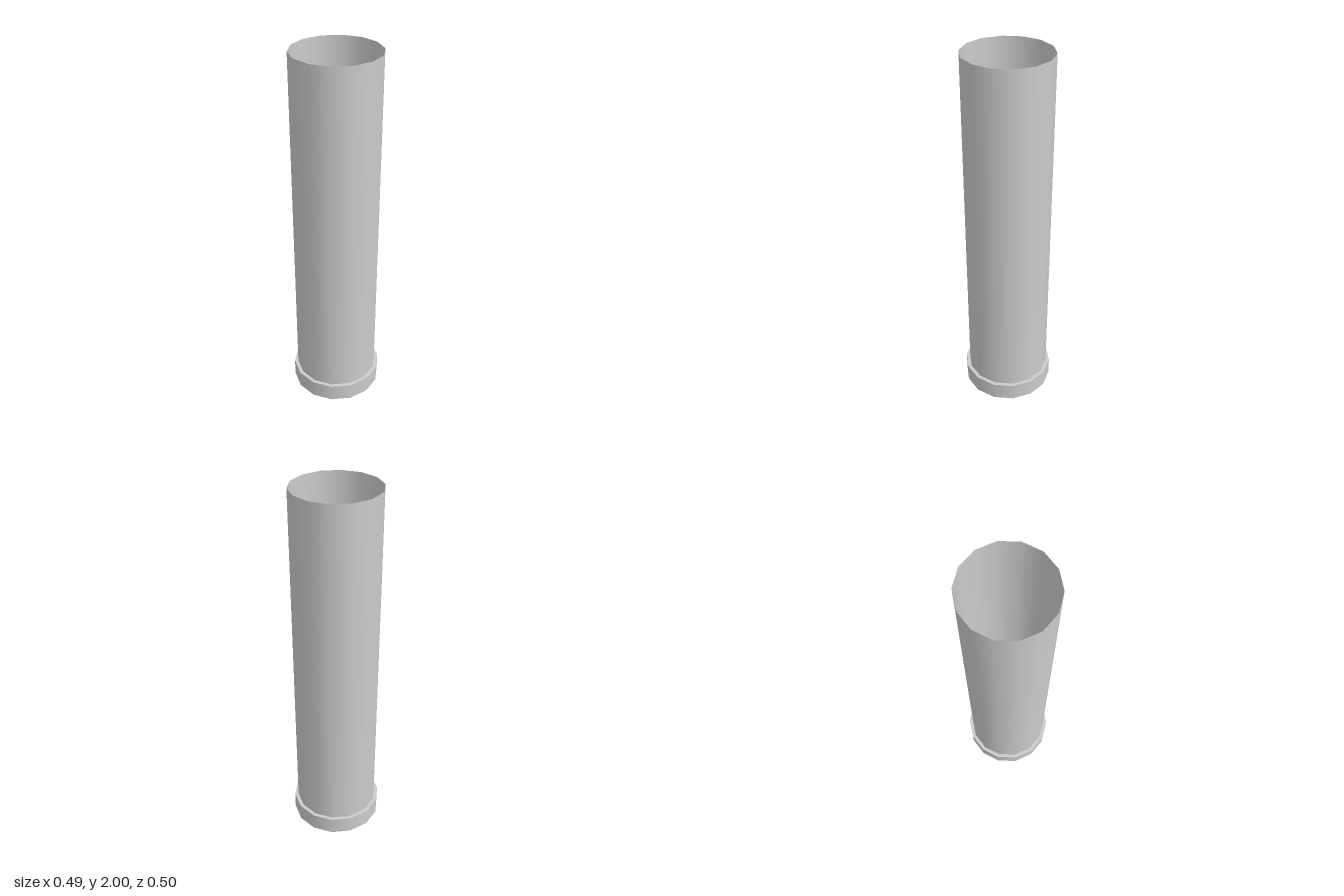
import * as THREE from 'three';

const SIDES = 14;
const TUBE_RADIUS = 0.23;
const COLLAR_RADIUS = 0.25;
const COLLAR_HEIGHT = 0.1;
const HEIGHT = 2;

export function createModel() {
  const group = new THREE.Group();
  group.name = 'pipe';
  const material = new THREE.MeshStandardMaterial({ color: 0xcccccc, side: THREE.DoubleSide });

  function add(name, geometry, y) {
    const mesh = new THREE.Mesh(geometry, material);
    mesh.name = name;
    mesh.position.y = y;
    group.add(mesh);
  }

  // Thin open-ended wall between two heights
  function addWall(name, radius, bottom, top) {
    const geometry = new THREE.CylinderGeometry(radius, radius, top - bottom, SIDES, 1, true);
    add(name, geometry, (bottom + top) / 2);
  }

  addWall('tube', TUBE_RADIUS, COLLAR_HEIGHT, HEIGHT);
  addWall('collar', COLLAR_RADIUS, 0, COLLAR_HEIGHT);

  // Flat step joining the collar to the tube
  const ledge = new THREE.RingGeometry(TUBE_RADIUS, COLLAR_RADIUS, SIDES, 1, Math.PI / 2);
  ledge.rotateX(-Math.PI / 2);
  add('collarLedge', ledge, COLLAR_HEIGHT);

  return group;
}
